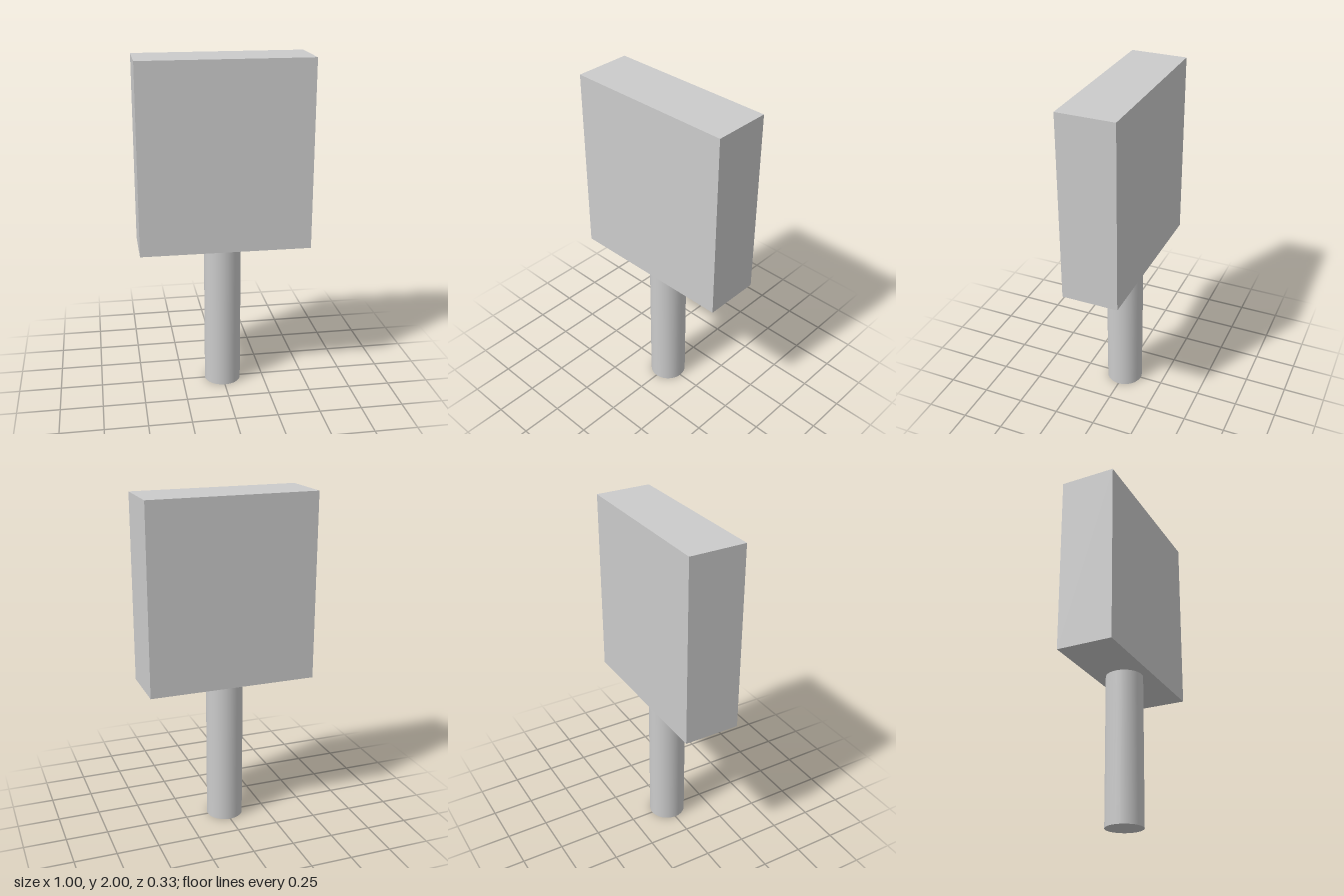
import * as THREE from 'three';

const TOTAL = 2;
const POST_HEIGHT = 0.895;
const POST_RADIUS = 0.11;
const PANEL = { width: 1, height: TOTAL - POST_HEIGHT, depth: 0.334 };

export function createModel() {
  const group = new THREE.Group();
  group.name = 'signOnPost';
  const material = new THREE.MeshStandardMaterial({ color: 0xcccccc });

  // Round post standing on the ground
  const post = new THREE.Mesh(
    new THREE.CylinderGeometry(POST_RADIUS, POST_RADIUS, POST_HEIGHT, 32),
    material
  );
  post.name = 'post';
  post.position.y = POST_HEIGHT / 2;

  // Thick rectangular panel resting on the post
  const panel = new THREE.Mesh(
    new THREE.BoxGeometry(PANEL.width, PANEL.height, PANEL.depth),
    material
  );
  panel.name = 'panel';
  panel.position.y = POST_HEIGHT + PANEL.height / 2;

  group.add(post, panel);
  return group;
}
